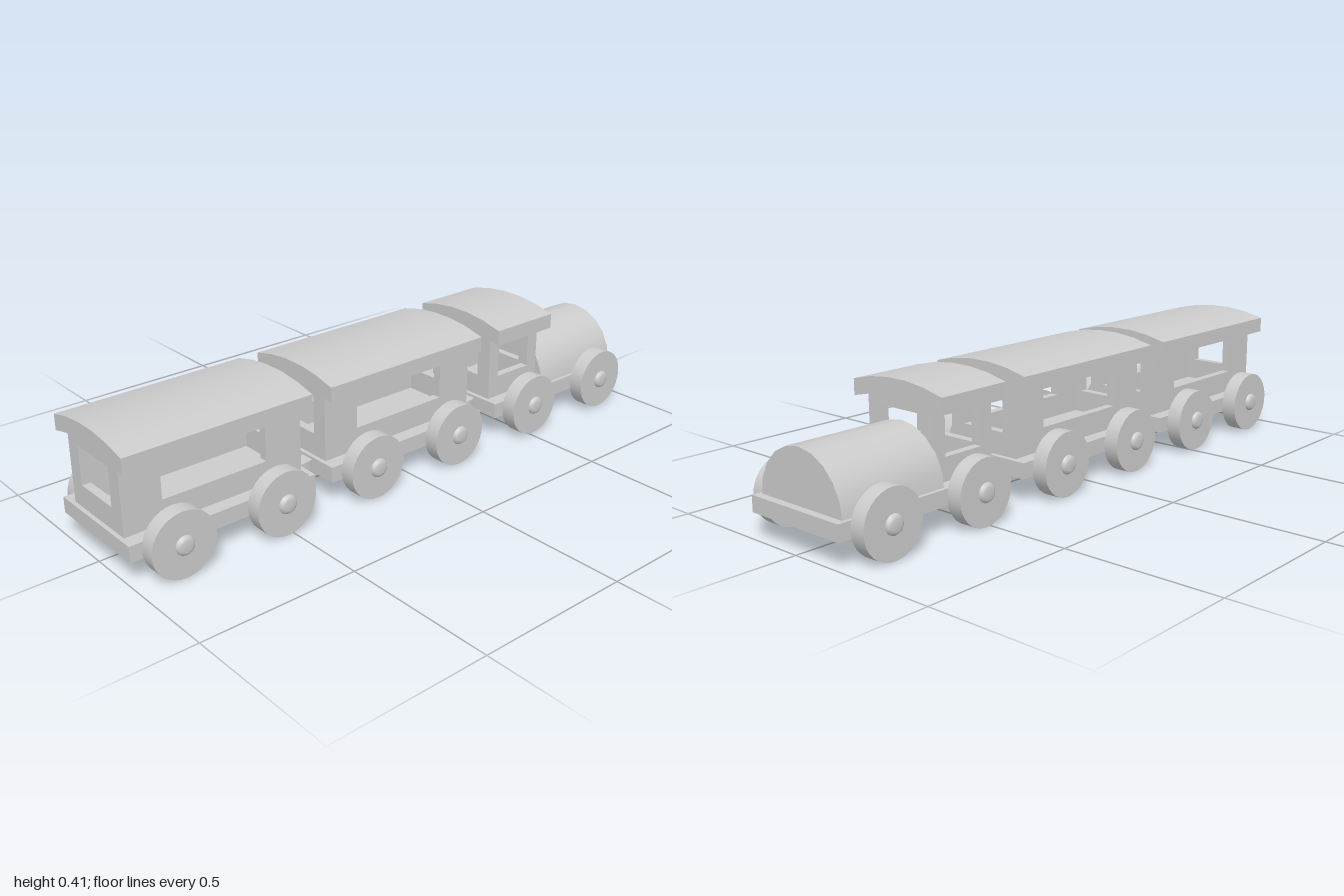
import * as THREE from 'three';
import { toCreasedNormals } from 'three/addons/utils/BufferGeometryUtils.js';

const material = new THREE.MeshStandardMaterial({ color: 0xcccccc });
const FLOOR_TOP = 0.128, SILL = 0.2, LINTEL = 0.322, WALL = 0.027, HALF_BODY = 0.133;

function add(parent, geometry, name, x = 0, y = 0, z = 0) {
  const mesh = new THREE.Mesh(geometry, material);
  mesh.name = name;
  mesh.position.set(x, y, z);
  parent.add(mesh);
  return mesh;
}

// Extrudes along z, centred, keeping only the hard edges sharp
function extrude(shape, depth) {
  const g = new THREE.ExtrudeGeometry(shape, { depth, bevelEnabled: false, curveSegments: 24 });
  return toCreasedNormals(g.translate(0, 0, -depth / 2), 0.5);
}

function rectPath(Type, x0, y0, x1, y1) {
  return new Type([[x0, y0], [x1, y0], [x1, y1], [x0, y1]].map(p => new THREE.Vector2(...p)));
}

// Points on the five-segment roof arc, lifted by dy
const ROOF_R = 0.636, ROOF_A = 0.287;
function roofArc(dy) {
  return [-1, -0.6, -0.2, 0.2, 0.6, 1].map(f => new THREE.Vector2(
    ROOF_R * Math.sin(f * ROOF_A), 0.362 + dy - ROOF_R * (1 - Math.cos(f * ROOF_A))));
}

function roof(length) {
  return extrude(new THREE.Shape([...roofArc(0), ...roofArc(0.05).reverse()]), length);
}

// End wall with a window, its top following the roof
function endWall() {
  const inner = roofArc(0).slice(1, 5).reverse();
  const v = (x, y) => new THREE.Vector2(x, y);
  const shape = new THREE.Shape([
    v(-HALF_BODY, FLOOR_TOP), v(HALF_BODY, FLOOR_TOP), v(HALF_BODY, 0.348),
    ...inner, v(-HALF_BODY, 0.348)]);
  shape.holes.push(rectPath(THREE.Path, -0.08, SILL, 0.08, LINTEL));
  return extrude(shape, WALL);
}

// Side wall with a window, lying along z
function sideWall(length, windowLength) {
  const shape = rectPath(THREE.Shape, -length / 2, FLOOR_TOP, length / 2, 0.348);
  shape.holes.push(rectPath(THREE.Path, -windowLength / 2, SILL, windowLength / 2, LINTEL));
  return extrude(shape, WALL).rotateY(Math.PI / 2);
}

function cabin(length, windowLength, roofLength, z) {
  const group = new THREE.Group();
  group.name = 'cabin';
  group.position.z = z;
  for (const s of [-1, 1]) {
    add(group, endWall(), 'endWall', 0, 0, s * (length - WALL) / 2);
    add(group, sideWall(length - 2 * WALL, windowLength), 'sideWall', s * (HALF_BODY - WALL / 2));
  }
  add(group, roof(roofLength), 'roof');
  return group;
}

// Wheel with a domed hub, facing outwards along +x
function wheel(side) {
  const group = new THREE.Group();
  group.name = 'wheel';
  add(group, new THREE.CylinderGeometry(0.102, 0.102, 0.05, 32).rotateZ(-Math.PI / 2), 'tyre', 0.205);
  const dome = [[0.03, 0.229], [0.03, 0.233], [0.026, 0.239], [0.018, 0.243], [0, 0.243]];
  const hub = new THREE.LatheGeometry(dome.map(p => new THREE.Vector2(...p)), 20);
  add(group, hub.rotateZ(-Math.PI / 2), 'hub');
  if (side < 0) group.rotation.y = Math.PI;
  return group;
}

// Floor plate and four wheels shared by every vehicle
function chassis(name, z) {
  const group = new THREE.Group();
  group.name = name;
  group.position.z = z;
  add(group, new THREE.BoxGeometry(0.36, 0.05, 0.622), 'floor', 0, 0.103, 0);
  for (const side of [-1, 1]) {
    for (const wz of [-0.171, 0.171]) {
      const w = wheel(side);
      w.position.set(0, 0.102, wz + 0.001);
      group.add(w);
    }
  }
  return group;
}

export function createModel() {
  const train = new THREE.Group();
  train.name = 'toyTrain';

  // Passenger cars
  for (const z of [0.689, 0.005]) {
    const car = chassis('passengerCar', z);
    car.add(cabin(0.592, 0.345, 0.615, 0.002));
    train.add(car);
  }

  // Engine with a half-round boiler
  const engine = chassis('engine', -0.689);
  engine.add(cabin(0.227, 0.142, 0.252, 0.183));
  const profile = [];
  for (let i = 0; i <= 10; i++) {
    const a = i * Math.PI / 10;
    profile.push(new THREE.Vector2(0.168 * Math.cos(a), 0.124 + 0.168 * Math.sin(a)));
  }
  add(engine, extrude(new THREE.Shape(profile), 0.357), 'boiler', 0, 0, -0.108);
  train.add(engine);

  // Ring couplings between the vehicles
  const ring = new THREE.Shape().absarc(0, 0, 0.09, 0, Math.PI * 2);
  ring.holes.push(new THREE.Path().absarc(0, 0, 0.048, 0, Math.PI * 2, true));
  for (const z of [0.347, -0.342]) {
    add(train, extrude(ring, 0.025).rotateX(-Math.PI / 2), 'coupling', 0, 0.107, z);
  }
  return train;
}
